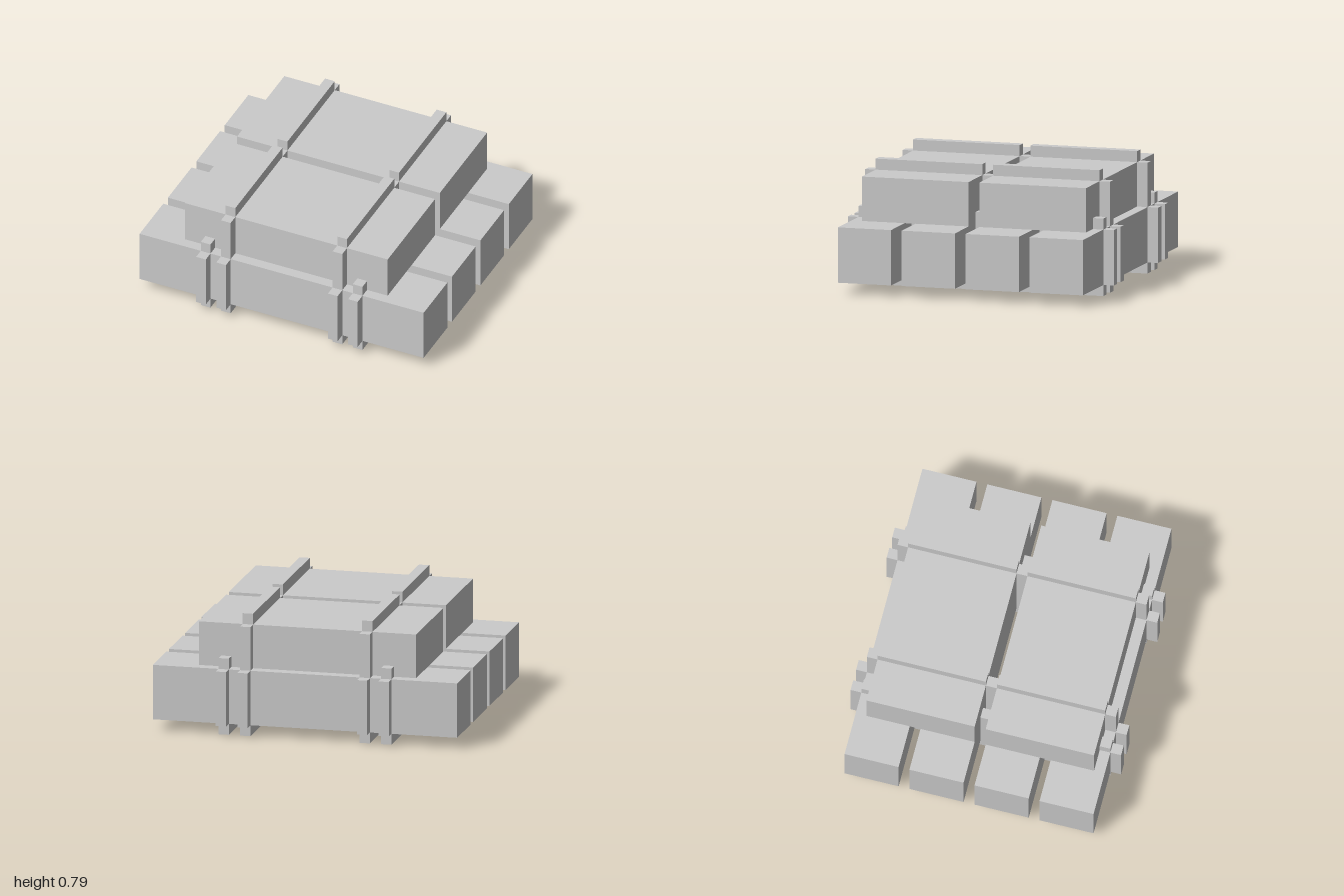
import * as THREE from 'three';

export function createModel() {
  const model = new THREE.Group();
  const material = new THREE.MeshStandardMaterial({ color: 0xcccccc, flatShading: true });

  // Box given by its extents along each axis
  function box(name, [x0, x1], [y0, y1], [z0, z1], parent = model) {
    const mesh = new THREE.Mesh(new THREE.BoxGeometry(x1 - x0, y1 - y0, z1 - z0), material);
    mesh.position.set((x0 + x1) / 2, (y0 + y1) / 2, (z0 + z1) / 2);
    mesh.name = name;
    parent.add(mesh);
  }
  // The same box at the front and mirrored to the back
  function pair(name, x, y, [z0, z1], parent) {
    box(name, x, y, [z0, z1], parent);
    box(name, x, y, [-z1, -z0], parent);
  }

  const base = 0.072, deck = 0.43, top = 0.717, t = 0.071;
  const gap = 0.036, end = 0.82;

  // Four long lower blocks and two shorter upper blocks
  pair('lowerInnerBlock', [-1, 1], [base, deck], [gap, 0.393]);
  pair('lowerOuterBlock', [-1, 1], [base, deck], [0.464, end]);
  pair('upperBlock', [-0.714, 0.714], [deck, top], [gap, 0.75]);

  for (const side of [-1, 1]) {
    for (const [name, centre, tall] of [['outerStrap', 0.535, false], ['innerStrap', 0.393, true]]) {
      const strap = new THREE.Group();
      strap.name = name;
      model.add(strap);
      const x = [side * centre - 0.034, side * centre + 0.034];

      // Band under the stack, uprights at the ends and in the gaps
      box('bottomBand', x, [0, base], [-end, end], strap);
      pair('endUpright', x, [base, deck], [end, end + t], strap);
      pair('gapUpright', x, [base, deck], [0.393, 0.464], strap);
      box('middleUpright', x, [base, tall ? top : deck], [-gap, gap], strap);

      if (tall) {
        // Inner straps climb over the upper blocks
        pair('upperUpright', x, [deck, top], [0.75, end], strap);
        pair('topBand', x, [top, top + t], [gap, 0.75], strap);
      } else {
        // Outer straps run across the lower blocks only
        box('deckBand', x, [deck, deck + t], [-end, end], strap);
      }
    }
  }
  return model;
}
